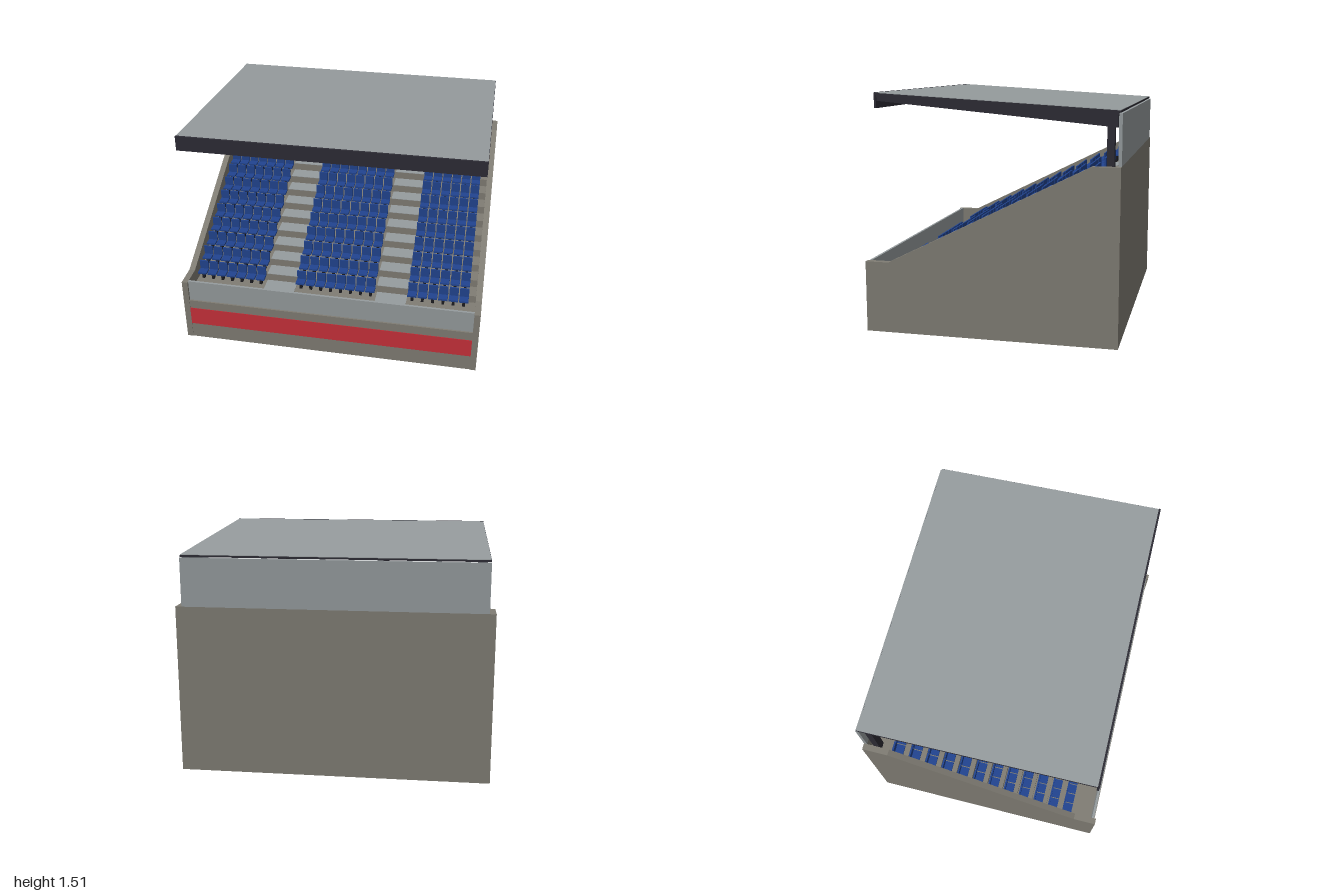
import * as THREE from 'three';
import { mergeGeometries } from 'three/addons/utils/BufferGeometryUtils.js';

const mat = (name, color) => {
  const m = new THREE.MeshStandardMaterial({ color });
  m.name = name;
  return m;
};

// Extrude a [z, y] outline along x, centred on x = 0
function profile(points, width) {
  const shape = new THREE.Shape(points.map(([z, y]) => new THREE.Vector2(z, y)));
  const g = new THREE.ExtrudeGeometry(shape, { depth: width, bevelEnabled: false });
  g.translate(0, 0, -width / 2);
  return g.rotateY(-Math.PI / 2);
}

// Box from its limits on each axis
function box(x0, x1, y0, y1, z0, z1) {
  const g = new THREE.BoxGeometry(x1 - x0, y1 - y0, z1 - z0);
  return g.translate((x0 + x1) / 2, (y0 + y1) / 2, (z0 + z1) / 2);
}

export function createModel() {
  const concrete = mat('concrete', 0x807d74);
  const panelGrey = mat('panel grey', 0x969c9e);
  const steel = mat('dark steel', 0x2d2c35);
  const red = mat('banner red', 0xc8303a);
  const blue = mat('seat blue', 0x214490);
  const black = mat('leg black', 0x1b1b20);

  const group = new THREE.Group();
  group.name = 'grandstand';
  const add = (name, geometry, material, parent = group) => {
    const mesh = new THREE.Mesh(geometry, material);
    mesh.name = name;
    parent.add(mesh);
    return mesh;
  };

  const rows = 12, rise = 0.0533, run = 0.1065;
  const floorY = 0.305, stepZ = 0.648, inner = 0.96;
  const treadY = (i) => floorY + rise * (i + 1);
  const treadZ = (i) => stepZ - run * i;

  // Stepped terrace with walkway, top landing and back wall
  const outline = [[-0.8, 0], [0.797, 0], [0.797, floorY], [stepZ, floorY]];
  for (let i = 0; i < rows; i++) {
    outline.push([treadZ(i), treadY(i)]);
    if (i < rows - 1) outline.push([treadZ(i + 1), treadY(i)]);
  }
  outline.push([-0.78, treadY(rows - 1)], [-0.78, 1.093], [-0.8, 1.093]);
  add('terrace', profile(outline, inner * 2), concrete);

  // Sloping side walls
  const wall = profile(
    [[-0.8, 0], [0.8, 0], [0.8, 0.453], [0.648, 0.453], [-0.63, 1.093], [-0.8, 1.093]], 0.04);
  for (const side of [-1, 1]) {
    add(side > 0 ? 'leftWall' : 'rightWall', wall, concrete).position.x = side * 0.98;
  }

  // Front parapet, banner and rear screen
  add('frontParapet', box(-inner, inner, floorY, 0.455, 0.77, 0.786), panelGrey);
  add('banner', box(-inner, inner, 0.113, 0.244, 0.796, 0.8), red);
  add('rearScreen', box(-inner, inner, 1.093, 1.403, -0.8, -0.779), panelGrey);

  // Pale treads in the two aisles
  const aisles = [[-0.475, -0.263], [0.294, 0.502]];
  const treads = [];
  for (const [x0, x1] of aisles) {
    for (let i = 0; i < rows; i++) {
      const z = treadZ(i);
      treads.push(box(x0, x1, treadY(i), treadY(i) + 0.003, z - run, z));
    }
  }
  add('aisleTreads', mergeGeometries(treads), panelGrey);

  // Seats: pan and backrest on a single leg
  const pitch = 0.0688, half = 0.0305;
  const shell = mergeGeometries([
    box(-half, half, 0.046, 0.058, -0.026, 0.03),
    box(-half, half, 0.05, 0.12, -0.036, -0.025),
  ]);
  const leg = box(-0.009, 0.009, 0, 0.046, -0.015, 0.008);
  const blocks = [
    { name: 'rightSeats', start: -0.953, count: 7 },
    { name: 'middleSeats', start: -0.257, count: 8 },
    { name: 'leftSeats', start: 0.508, count: 6 },
  ];
  for (const { name, start, count } of blocks) {
    const block = new THREE.Group();
    block.name = name;
    group.add(block);
    const shells = [], legs = [];
    for (let i = 0; i < rows; i++) {
      for (let j = 0; j < count; j++) {
        const at = [start + half + j * pitch, treadY(i), treadZ(i) - 0.058];
        shells.push(shell.clone().translate(...at));
        legs.push(leg.clone().translate(...at));
      }
    }
    add('seatShells', mergeGeometries(shells), blue, block);
    add('seatLegs', mergeGeometries(legs), black, block);
  }

  // Columns and tapered roof beams
  const beam = profile([[-0.775, 1.32], [0.718, 1.458], [0.718, 1.496], [-0.775, 1.41]], 0.048);
  [-0.92, -0.307, 0.307, 0.92].forEach((x) => {
    add('column', box(x - 0.025, x + 0.025, 0.944, 1.38, -0.754, -0.71), steel);
    add('roofBeam', beam, steel).position.x = x + 0.007;
  });

  // Roof deck with grey sheet on top, and front fascia
  add('roofDeck', profile(
    [[-0.79, 1.407], [0.72, 1.494], [0.72, 1.506], [-0.79, 1.419]], inner * 2), steel);
  add('roofSheet', profile(
    [[-0.789, 1.419], [0.718, 1.506], [0.718, 1.509], [-0.789, 1.422]], inner * 2 - 0.004), panelGrey);
  add('roofFascia', box(-inner, inner, 1.413, 1.51, 0.717, 0.73), steel);

  return group;
}
